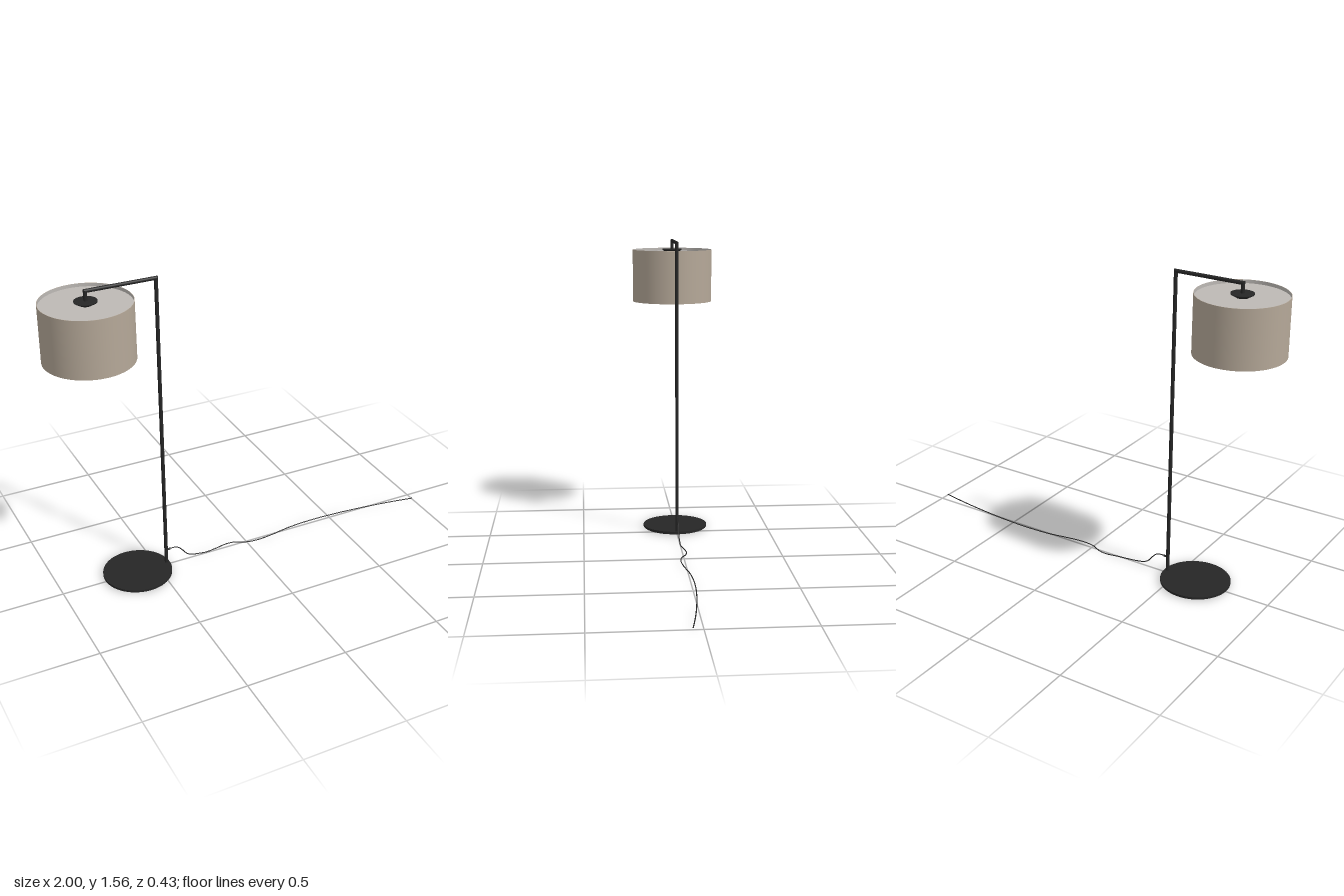
import * as THREE from 'three';

const material = (color, side = THREE.FrontSide) => new THREE.MeshStandardMaterial({ color, side });
const V = (x, y, z = 0) => new THREE.Vector3(x, y, z);

export function createModel() {
  const lamp = new THREE.Group();
  const black = material(0x262626);
  const fabric = material(0xb5a898, THREE.DoubleSide);
  const lining = material(0xbdb9b5, THREE.DoubleSide);

  const add = (name, geometry, mat, x = 0, y = 0) => {
    const mesh = new THREE.Mesh(geometry, mat);
    mesh.name = name;
    mesh.position.set(x, y, 0);
    lamp.add(mesh);
    return mesh;
  };
  const lathe = (points, segments = 64) =>
    new THREE.LatheGeometry(points.map(([r, y]) => new THREE.Vector2(r, y)), segments);

  const shadeX = -0.786, poleX = -0.451, baseX = -0.608, armY = 1.553, tubeR = 0.009;

  // Weighted foot: thin disc on a slightly smaller pad
  add('base', new THREE.CylinderGeometry(0.172, 0.172, 0.011, 64), black, baseX, 0.0105);
  add('basePad', new THREE.CylinderGeometry(0.165, 0.165, 0.006, 64), black, baseX, 0.003);

  // Round tube whose ends are cut at a slope (height change per unit of local x)
  const mitredTube = (length, topSlope, bottomSlope) => {
    const g = new THREE.CylinderGeometry(tubeR, tubeR, length, 20);
    const p = g.attributes.position;
    for (let i = 0; i < p.count; i++) {
      const slope = p.getY(i) > 0 ? topSlope : bottomSlope;
      p.setY(i, p.getY(i) + slope * p.getX(i));
    }
    return g;
  };

  // Pole, arm and drop tube meeting in mitred corners
  add('pole', mitredTube(armY - 0.01, 1, 0), black, poleX, (armY + 0.01) / 2);
  const arm = add('arm', mitredTube(poleX - shadeX, -1, 1), black, (poleX + shadeX) / 2, armY);
  arm.rotation.z = -Math.PI / 2;
  // The arm's local x points down, so its ends lean outwards at the top
  add('dropTube', mitredTube(armY - 1.49, -1, 0), black, shadeX, (armY + 1.49) / 2);

  // Dished holder on top of the shade
  add('shadeHolder', lathe([[0, 1.488], [0.028, 1.488], [0.034, 1.492], [0.053, 1.503],
    [0.053, 1.508], [0, 1.508]], 40), black, shadeX);

  // Drum shade: open sleeve with a thin wall
  add('shade', new THREE.CylinderGeometry(0.214, 0.214, 0.28, 72, 1, true), fabric, shadeX, 1.365);
  add('shadeLining', new THREE.CylinderGeometry(0.212, 0.212, 0.28, 72, 1, true), lining, shadeX, 1.365);
  for (const [name, y] of [['shadeTopRim', 1.505], ['shadeBottomRim', 1.225]]) {
    const rim = add(name, new THREE.RingGeometry(0.212, 0.214, 72), fabric, shadeX, y);
    rim.rotation.x = -Math.PI / 2;
  }

  // Recessed diffusers closing the shade
  for (const [name, y] of [['topDiffuser', 1.487], ['bottomDiffuser', 1.247]])
    add(name, new THREE.CylinderGeometry(0.212, 0.212, 0.003, 72), lining, shadeX, y);

  // Cable outlet on the pole
  const outlet = add('cableOutlet', new THREE.CylinderGeometry(0.005, 0.005, 0.018, 12), black, poleX + 0.014, 0.089);
  outlet.rotation.z = Math.PI / 2;

  // Cable dropping to the floor and wandering off to the side
  const floorY = 0.005;
  const floorRun = [[-0.23, 0], [-0.17, -0.008], [-0.1, -0.02], [-0.055, -0.013], [0, 0.013], [0.06, 0.02],
    [0.13, 0.014], [0.27, -0.009], [0.42, -0.016], [0.58, -0.009], [0.75, 0.008], [0.88, 0.026], [1, 0.047]];
  const path = new THREE.CatmullRomCurve3([
    V(-0.445, 0.089), V(-0.41, 0.09), V(-0.385, 0.083), V(-0.36, 0.058),
    V(-0.335, 0.029), V(-0.305, 0.016), V(-0.265, 0.009),
    ...floorRun.map(([x, z]) => V(x, floorY, z)),
  ]);
  add('cable', new THREE.TubeGeometry(path, 160, 0.0026, 8), black);

  return lamp;
}
